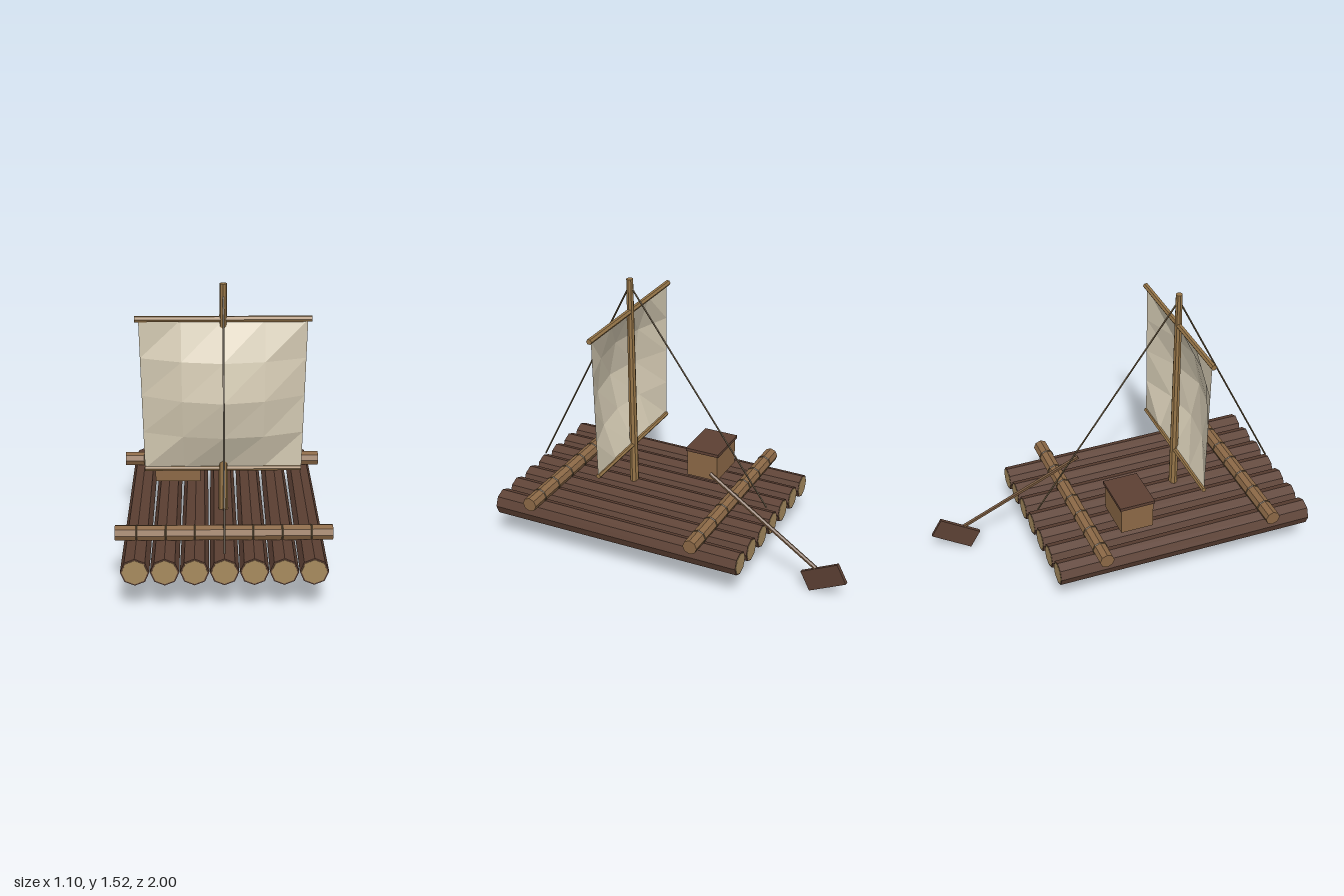
import * as THREE from 'three';

const mat = (name, color, extra = {}) => {
  const m = new THREE.MeshStandardMaterial({ color, flatShading: true, ...extra });
  m.name = name;
  return m;
};

export function createModel() {
  const raft = new THREE.Group();
  raft.name = 'raft';

  const bark = mat('dark bark', 0x5c4033);
  const cutWood = mat('cut wood', 0xa68a5e);
  const beamWood = mat('beam wood', 0x8b6846);
  const sparWood = mat('spar wood', 0x967548);
  const shaftWood = mat('oar wood', 0x735539);
  const rope = mat('rope', 0x6b5a3f);
  const canvas = mat('canvas', 0xd3c9b2, { side: THREE.DoubleSide });

  const add = (name, geometry, material, parent = raft) => {
    const mesh = new THREE.Mesh(geometry, material);
    mesh.name = name;
    parent.add(mesh);
    return mesh;
  };

  // Round pole from point a to point b
  const up = new THREE.Vector3(0, 1, 0);
  const pole = (name, a, b, rA, rB, material, sides = 8, parent = raft) => {
    const start = new THREE.Vector3(...a);
    const end = new THREE.Vector3(...b);
    const dir = end.clone().sub(start);
    const mesh = add(name, new THREE.CylinderGeometry(rB, rA, dir.length(), sides), material, parent);
    mesh.position.copy(start).add(end).multiplyScalar(0.5);
    mesh.quaternion.setFromUnitVectors(up, dir.normalize());
    return mesh;
  };

  // Deck of seven tapered logs with pale sawn ends
  const logXs = Array.from({ length: 7 }, (_, i) => (i - 3) * 0.147);
  const deck = new THREE.Group();
  deck.name = 'deck';
  raft.add(deck);
  for (const x of logXs) {
    pole('log', [x, 0.23, -0.473], [x, 0.23, 0.998], 0.066, 0.072, bark, 8, deck);
    pole('frontLogEnd', [x, 0.23, 0.99], [x, 0.23, 1], 0.064, 0.064, cutWood, 8, deck);
    pole('backLogEnd', [x, 0.23, -0.475], [x, 0.23, -0.465], 0.059, 0.059, cutWood, 8, deck);
  }

  // Cross beams lashed to every log
  for (const z of [0.75, -0.23]) {
    const beam = new THREE.Group();
    beam.name = z > 0 ? 'frontCrossBeam' : 'backCrossBeam';
    raft.add(beam);
    pole('beam', [-0.55, 0.325, z], [0.55, 0.325, z], 0.041, 0.041, beamWood, 8, beam);
    for (const x of logXs) {
      const ring = add('lashing', new THREE.TorusGeometry(0.041, 0.004, 4, 8), rope, beam);
      ring.rotation.y = Math.PI / 2;
      ring.position.set(x, 0.325, z);
    }
  }

  // Mast and yards
  const mastZ = 0.387;
  pole('mast', [0, 0.27, mastZ], [0, 1.525, mastZ], 0.026, 0.019, sparWood);
  pole('upperYard', [-0.45, 1.34, mastZ], [0.45, 1.34, mastZ], 0.016, 0.016, sparWood, 6);
  pole('lowerYard', [-0.41, 0.525, mastZ], [0.41, 0.525, mastZ], 0.014, 0.014, sparWood, 6);

  // Sail billowing forward, slightly narrower at the foot
  const sailGeo = new THREE.PlaneGeometry(1, 1, 4, 4);
  const p = sailGeo.attributes.position;
  for (let i = 0; i < p.count; i++) {
    const u = p.getX(i);
    const v = p.getY(i);
    const bulge = 0.14 * Math.cos(Math.PI * u) * Math.cos(Math.PI * v);
    p.setXYZ(i, u * (0.84 + 0.04 * v), 0.93 + v * 0.81, mastZ + bulge);
  }
  sailGeo.computeVertexNormals();
  add('sail', sailGeo, canvas);

  // Stays
  pole('forestay', [0, 1.49, mastZ], [0, 0.32, 0.98], 0.005, 0.005, rope, 5);
  pole('backstay', [0, 1.49, mastZ], [0, 0.32, -0.435], 0.005, 0.005, rope, 5);

  // Storage chest with overhanging lid
  add('chest', new THREE.BoxGeometry(0.245, 0.16, 0.185), beamWood).position.set(-0.245, 0.41, 0.015);
  add('chestLid', new THREE.BoxGeometry(0.262, 0.018, 0.2), bark).position.set(-0.245, 0.496, 0.013);

  // Steering oar trailing behind
  pole('oarShaft', [0.12, 0.525, -0.148], [0.205, 0.155, -0.81], 0.012, 0.012, shaftWood, 6);
  const blade = add('oarBlade', new THREE.BoxGeometry(0.02, 0.117, 0.246), bark);
  blade.position.set(0.21, 0.115, -0.86);
  blade.rotation.set(0.51, -0.13, 0, 'YXZ');

  return raft;
}
